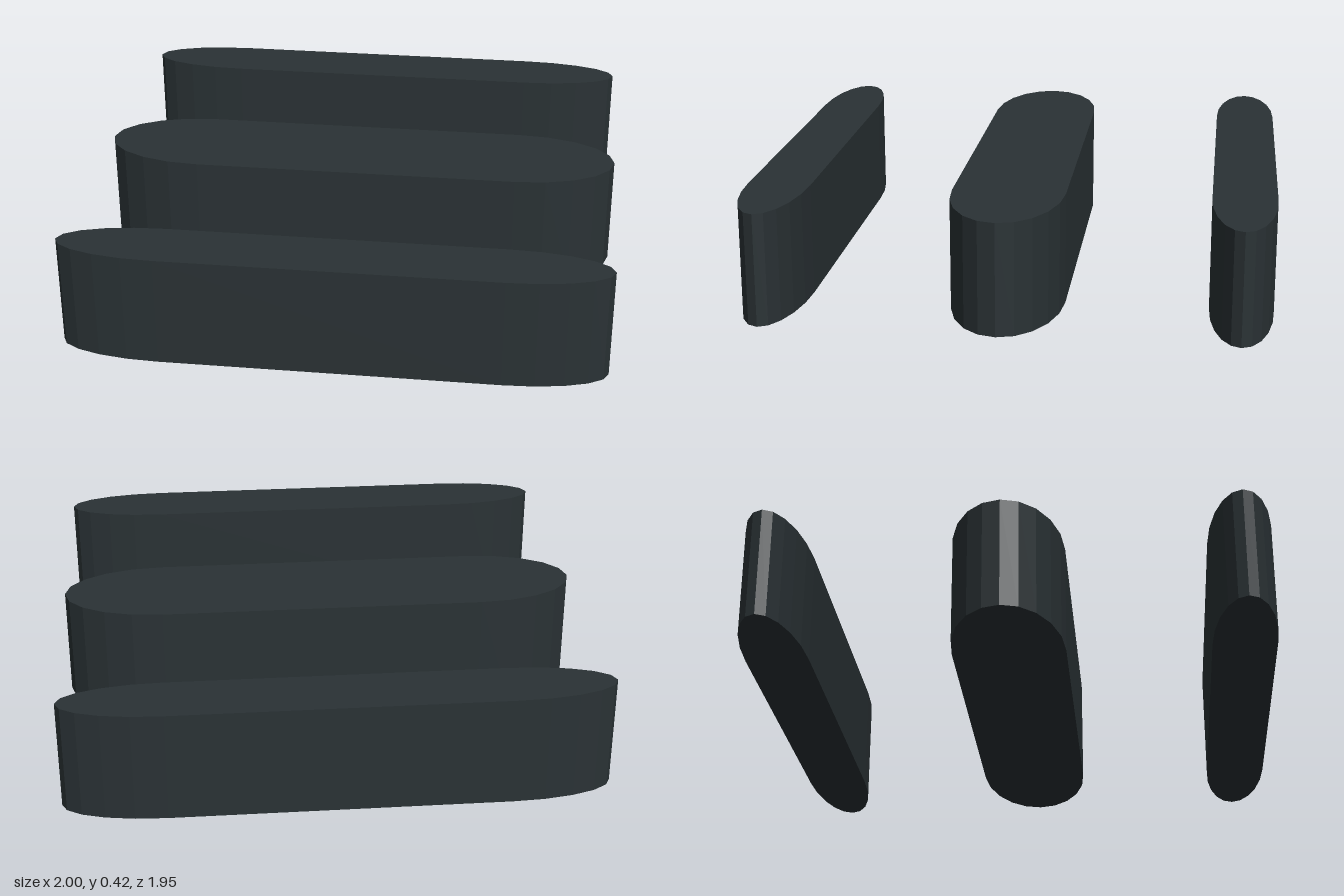
import * as THREE from 'three';

const HEIGHT = 0.42;
const STRAIGHT = 0.62; // half length of the straight sides
const END = 0.38;      // length of each elliptical end
const STEPS = 10;      // facets around each end

// Long bar with elliptical ends, standing on the ground
function barGeometry(halfWidth) {
  const points = [];
  for (const side of [1, -1]) {
    for (let i = 0; i <= STEPS; i++) {
      const a = -Math.PI / 2 + (Math.PI * i) / STEPS;
      points.push(new THREE.Vector2(
        side * (STRAIGHT + END * Math.cos(a)),
        side * halfWidth * Math.sin(a)
      ));
    }
  }
  const geometry = new THREE.ExtrudeGeometry(new THREE.Shape(points), {
    depth: HEIGHT, bevelEnabled: false,
  });
  return geometry.rotateX(-Math.PI / 2);
}

export function createModel() {
  const group = new THREE.Group();
  const material = new THREE.MeshStandardMaterial({ color: 0x2a3235, flatShading: true });

  const addBar = (name, halfWidth, z) => {
    const mesh = new THREE.Mesh(barGeometry(halfWidth), material);
    mesh.name = name;
    mesh.position.z = z;
    group.add(mesh);
  };

  // Wide bar in the middle, a narrow one on either side
  addBar('middleBar', 0.21, 0);
  addBar('frontBar', 0.118, 0.857);
  addBar('backBar', 0.118, -0.857);

  return group;
}
